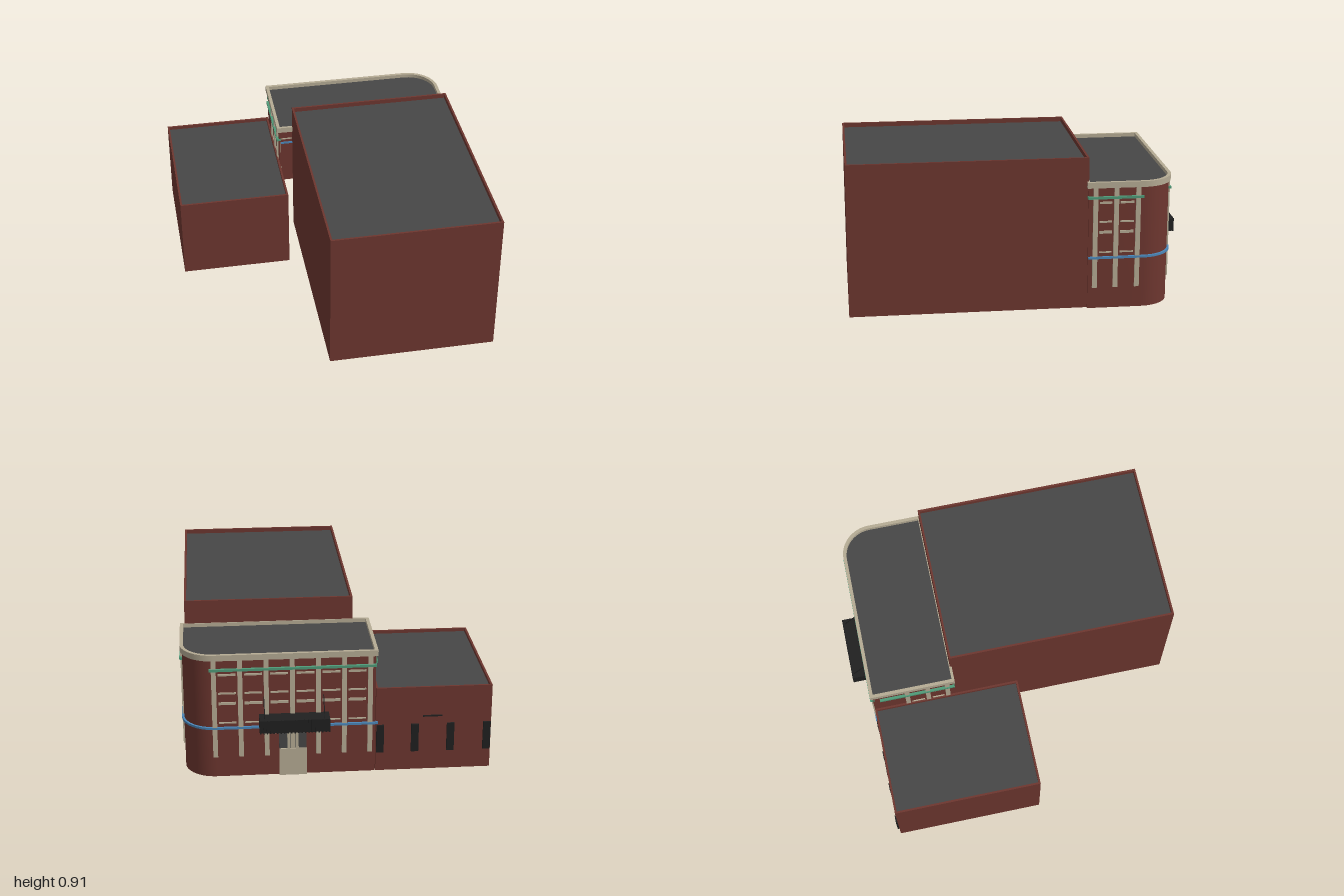
import * as THREE from 'three';
import { toCreasedNormals } from 'three/addons/utils/BufferGeometryUtils.js';

const mat = (name, color, opts = {}) => {
  const m = new THREE.MeshStandardMaterial({ color, ...opts });
  m.name = name;
  return m;
};

export function createModel() {
  const group = new THREE.Group();
  const brick = mat('brick', 0x6d362f);
  const roofGrey = mat('roof grey', 0x474747);
  const stone = mat('pale stone', 0xb5ab94);
  const green = mat('green trim', 0x4f9a78);
  const blue = mat('blue trim', 0x4a86b8);
  const black = mat('black', 0x202020);

  const add = (name, geo, material) => {
    const mesh = new THREE.Mesh(geo, material);
    mesh.name = name;
    group.add(mesh);
    return mesh;
  };
  // box given by its extents
  const box = (name, x0, x1, y0, y1, z0, z1, m) => add(name,
    new THREE.BoxGeometry(x1 - x0, y1 - y0, z1 - z0)
      .translate((x0 + x1) / 2, (y0 + y1) / 2, (z0 + z1) / 2), m);
  // plan shape (x, z) raised from y0 to y1
  const raise = (name, shape, y0, y1, m) => {
    const geo = new THREE.ExtrudeGeometry(shape, { depth: y1 - y0, bevelEnabled: false });
    geo.rotateX(Math.PI / 2).translate(0, y1, 0);
    return add(name, toCreasedNormals(geo, 0.5), m);
  };
  const rect = (x0, x1, z0, z1) => [[x0, z0], [x1, z0], [x1, z1], [x0, z1]]
    .map(([x, z]) => new THREE.Vector2(x, z));

  // hollow rectangular block with a sunken roof and open base
  const block = (name, x0, x1, z0, z1, h, roofY) => {
    const t = 0.012;
    const shape = new THREE.Shape(rect(x0, x1, z0, z1));
    shape.holes.push(new THREE.Path(rect(x0 + t, x1 - t, z0 + t, z1 - t)));
    raise(name + 'Walls', shape, 0, h, brick);
    box(name + 'Roof', x0 + t, x1 - t, roofY - 0.01, roofY, z0 + t, z1 - t, roofGrey);
  };
  block('hall', -0.135, 0.87, -0.393, 1, 0.912, 0.885);
  block('wing', -0.905, -0.225, -0.893, 0.01, 0.527, 0.507);

  // entrance block: plan outline with one rounded corner, offset by o
  const XL = -0.222, XR = 0.887, ZB = -0.893, ZF = -0.39, R = 0.18;
  const outline = (o) => {
    const pts = [new THREE.Vector2(XL - o, ZF), new THREE.Vector2(XL - o, ZB - o)];
    for (let i = 0; i <= 16; i++) {
      const a = (i / 16) * Math.PI / 2;
      pts.push(new THREE.Vector2(XR - R + Math.sin(a) * (R + o), ZB + R - Math.cos(a) * (R + o)));
    }
    pts.push(new THREE.Vector2(XR + o, ZF));
    return pts;
  };
  const strip = (outer, inner) => new THREE.Shape([...outline(outer), ...outline(inner).reverse()]);
  raise('entranceWalls', strip(0, -0.01), 0, 0.74, brick);
  raise('entranceRoof', new THREE.Shape(outline(-0.005)), 0.735, 0.747, roofGrey);
  raise('cornice', strip(0.012, -0.008), 0.735, 0.77, stone);
  box('corniceEnd', XL - 0.012, XR + 0.012, 0.735, 0.77, ZF - 0.008, ZF + 0.008, stone);
  raise('blueBand', strip(0.013, -0.016), 0.306, 0.319, blue);

  // pilasters, trims and window ledges, on one wall at a time
  // along = 'x' runs on the rear wall; along = 'z' runs on a side wall facing sign s
  const onWall = (name, along, face, s, u0, u1, y0, y1, inset, out, m) => {
    const a = Math.min(face - s * inset, face + s * out);
    const b = Math.max(face - s * inset, face + s * out);
    return along === 'x' ? box(name, u0, u1, y0, y1, a, b, m) : box(name, a, b, y0, y1, u0, u1, m);
  };
  const dressWall = (along, face, s, centres, trim0, trim1) => {
    centres.forEach((c, i) => {
      onWall('pilaster', along, face, s, c - 0.014, c + 0.014, 0.128, 0.738, 0.015, 0.01, stone);
      if (i === centres.length - 1) return;
      const next = centres[i + 1];
      const pad = 0.024;
      for (const [y, h] of [[0.645, 0.012], [0.53, 0.01], [0.467, 0.016], [0.345, 0.008]]) {
        onWall('windowLedge', along, face, s, c + pad, next - pad, y - h / 2, y + h / 2, 0.014, 0.006, stone);
      }
    });
    onWall('greenBand', along, face, s, trim0, trim1, 0.67, 0.684, 0.012, 0.016, green);
  };
  const rearBays = [-0.19, -0.04, 0.11, 0.26, 0.41, 0.56, 0.71];
  const sideBays = [-0.68, -0.552, -0.43];
  dressWall('x', ZB, -1, rearBays, -0.225, 0.735);
  dressWall('z', XR, 1, sideBays, -0.712, -0.385);
  dressWall('z', XL, -1, sideBays, -0.85, -0.385);

  // entrance doors under the canopy
  box('doorPanel', 0.18, 0.34, 0, 0.17, -0.908, -0.89, stone);
  box('doorGlass', 0.18, 0.34, 0.17, 0.31, -0.899, -0.89, roofGrey);
  for (const x of [0.235, 0.285]) box('doorPost', x - 0.008, x + 0.008, 0.17, 0.31, -0.908, -0.89, stone);

  // canopy with ribbed edges and pale underside
  box('canopy', 0.05, 0.455, 0.315, 0.392, -0.995, -0.893, black);
  box('canopyUnderside', 0.065, 0.44, 0.31, 0.315, -0.985, -0.9, stone);
  for (let i = 0; i <= 20; i++) {
    const x = 0.054 + i * 0.01985;
    box('canopyRib', x - 0.004, x + 0.004, 0.312, 0.395, -1, -0.993, black);
  }
  // stays holding the canopy
  for (const x of [0.08, 0.425]) {
    const a = new THREE.Vector3(x, 0.39, -0.985), b = new THREE.Vector3(x, 0.5, -0.893);
    const stay = add('canopyStay', new THREE.CylinderGeometry(0.003, 0.003, a.distanceTo(b), 6), black);
    stay.position.copy(a).add(b).multiplyScalar(0.5);
    stay.quaternion.setFromUnitVectors(new THREE.Vector3(0, 1, 0), b.clone().sub(a).normalize());
  }

  // poster cases and a slim strip along the wing
  for (const x of [-0.25, -0.455, -0.665, -0.88]) {
    box('posterCase', x - 0.022, x + 0.022, 0.12, 0.295, -0.904, -0.89, black);
  }
  box('wallStrip', -0.615, -0.5, 0.34, 0.348, -0.9, -0.89, black);

  // panes on the inner faces of the wing walls
  for (const x of [-0.62, -0.78]) box('innerPane', x - 0.045, x + 0.045, 0.32, 0.43, -0.006, -0.001, roofGrey);
  for (const z of [-0.1, -0.32]) box('innerPane', -0.894, -0.889, 0.33, 0.44, z - 0.055, z + 0.055, roofGrey);

  return group;
}
